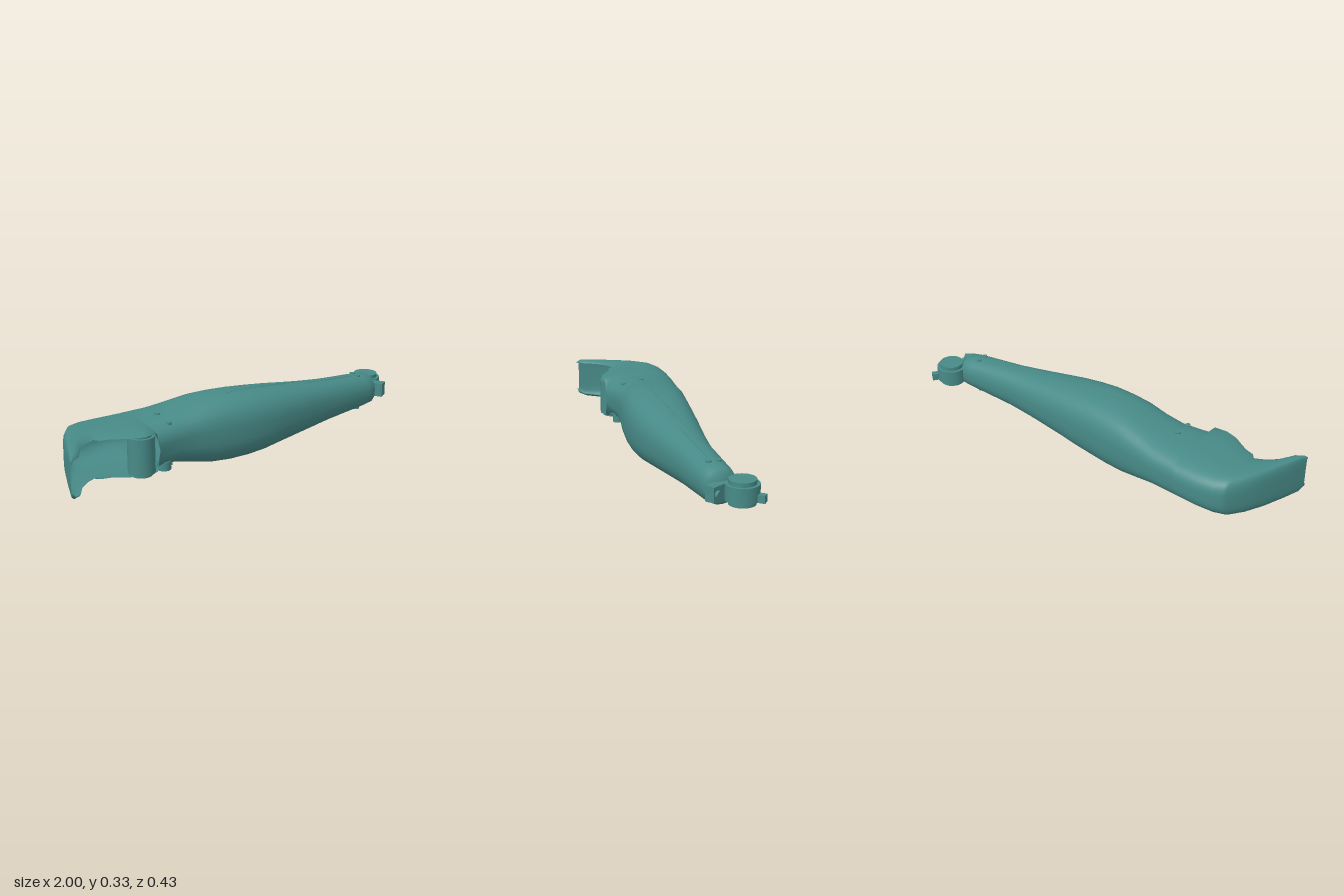
import * as THREE from 'three';
import { mergeVertices } from 'three/addons/utils/BufferGeometryUtils.js';

// Cross-sections along x: [x, back z, front z, bottom y, top y]
const SECTIONS = [
  [-1, 0.2, 0.212, 0.095, 0.255],
  [-0.985, 0.16, 0.208, 0.073, 0.268],
  [-0.95, 0.075, 0.19, 0.065, 0.271],
  [-0.9, -0.035, 0.12, 0.062, 0.273],
  [-0.85, -0.125, 0.08, 0.06, 0.275],
  [-0.8, -0.19, 0.06, 0.06, 0.275],
  [-0.785, -0.2, 0.085, 0.06, 0.275],
  [-0.74, -0.215, 0.1, 0.06, 0.276],
  [-0.66, -0.22, 0.155, 0.06, 0.277],
  [-0.6, -0.216, 0.175, 0.06, 0.278],
  [-0.54, -0.21, 0.172, 0.06, 0.279],
  [-0.52, -0.207, 0.168, 0.06, 0.28],
  [-0.4, -0.19, 0.155, 0.055, 0.285],
  [-0.3, -0.173, 0.165, 0.032, 0.302],
  [-0.2, -0.156, 0.185, 0.01, 0.322],
  [-0.1, -0.138, 0.2, 0.003, 0.328],
  [0, -0.12, 0.21, 0.005, 0.327],
  [0.1, -0.104, 0.21, 0.012, 0.32],
  [0.2, -0.087, 0.202, 0.025, 0.31],
  [0.4, -0.052, 0.175, 0.045, 0.285],
  [0.55, -0.03, 0.152, 0.058, 0.27],
  [0.8, -0.024, 0.14, 0.08, 0.25],
  [0.85, -0.018, 0.13, 0.085, 0.243],
  [0.872, 0.005, 0.105, 0.1, 0.225],
  [0.874, 0.054, 0.056, 0.163, 0.165],
];
const power = (v, n) => Math.sign(v) * Math.abs(v) ** (2 / n);
const roundness = (x) => THREE.MathUtils.clamp(2.6 - x * 0.6, 2.2, 3.2);

// Closed rounded sections on the forearm, front-open ones on the elbow cuff
function shellGeometry() {
  const around = 56, points = [], index = [];
  SECTIONS.forEach(([x, z0, z1, y0, y1], i) => {
    const sweep = x < -0.53 ? 0.72 * Math.PI : Math.PI;
    const n = roundness(x), mid = (z0 + z1) / 2;
    const frontReach = (z1 - mid) / power(-Math.cos(sweep), n);
    for (let j = 0; j <= around; j++) {
      const a = (j / around * 2 - 1) * sweep;
      const c = power(-Math.cos(a), n);
      points.push(x, (y0 + y1) / 2 + (y1 - y0) / 2 * power(Math.sin(a), n),
        mid + c * (c > 0 ? frontReach : mid - z0));
      if (i < SECTIONS.length - 1 && j < around) {
        const p = i * (around + 1) + j, q = p + around + 1;
        index.push(p, p + 1, q, p + 1, q + 1, q);
      }
    }
  });
  let g = new THREE.BufferGeometry();
  g.setAttribute('position', new THREE.Float32BufferAttribute(points, 3));
  g.setIndex(index);
  g = mergeVertices(g, 1e-5);
  g.computeVertexNormals();
  return g;
}

// Height of the forearm surface; side is 1 for the top, -1 for the bottom
function surfaceY(x, z, side) {
  const i = Math.max(1, SECTIONS.findIndex((s) => s[0] >= x));
  const a = SECTIONS[i - 1], b = SECTIONS[i], t = (x - a[0]) / (b[0] - a[0]);
  const [, z0, z1, y0, y1] = a.map((v, k) => v + (b[k] - v) * t);
  const n = roundness(x), u = Math.abs((2 * z - z0 - z1) / (z1 - z0));
  return (y0 + y1) / 2 + side * (y1 - y0) / 2 * (1 - Math.min(u, 1) ** n) ** (1 / n);
}

export function createModel() {
  const model = new THREE.Group();
  const teal = new THREE.MeshStandardMaterial({ color: 0x478a87, side: THREE.DoubleSide });
  teal.name = 'teal';

  const add = (name, geometry, x, y, z, turn = 0) => {
    const mesh = new THREE.Mesh(geometry, teal);
    mesh.name = name;
    mesh.position.set(x, y, z);
    mesh.rotation.y = turn;
    model.add(mesh);
    return mesh;
  };
  const post = (name, r, y0, y1, x, z) =>
    add(name, new THREE.CylinderGeometry(r, r, y1 - y0, 40), x, (y0 + y1) / 2, z);

  add('forearmShell', shellGeometry(), 0, 0, 0);

  // Screw heads on both faces
  for (const side of [1, -1]) {
    for (const [x, z] of [[-0.43, 0.01], [-0.43, 0.105], [0.77, 0.037], [0.77, 0.08]]) {
      const y = surfaceY(x, z, side);
      post('screw', 0.013, y - 0.008, y + 0.006, x, z);
    }
  }

  // Slim ridges running down the forearm
  for (const side of [1, -1]) {
    for (const [x0, x1, z0, z1] of [[0.08, 0.74, 0.06, 0.037], [-0.08, 0.3, 0.065, 0.065], [0.4, 0.74, 0.08, 0.072]]) {
      const path = [];
      for (let i = 0; i <= 8; i++) {
        const x = x0 + (x1 - x0) * i / 8, z = z0 + (z1 - z0) * i / 8;
        path.push(new THREE.Vector3(x, surfaceY(x, z, side) - side * 0.001, z));
      }
      add('ridge', new THREE.TubeGeometry(new THREE.CatmullRomCurve3(path), 24, 0.003, 6), 0, 0, 0);
    }
  }

  // Elbow hinge in the cuff mouth
  post('elbowHub', 0.063, 0.075, 0.25, -0.592, 0.12);
  post('elbowHubCap', 0.05, 0.062, 0.26, -0.592, 0.12);
  post('elbowPin', 0.032, 0.058, 0.1, -0.47, 0.12);

  // Wrist hinge
  post('wristHub', 0.075, 0.125, 0.197, 0.917, -0.015);
  post('wristHubCap', 0.06, 0.106, 0.216, 0.917, -0.015);
  add('wristNeck', new THREE.BoxGeometry(0.1, 0.07, 0.085), 0.865, 0.161, 0.03, 0.5);
  add('wristClamp', new THREE.BoxGeometry(0.05, 0.07, 0.07), 0.896, 0.161, 0.098, 0.5);
  const bolt = add('clampBolt', new THREE.CylinderGeometry(0.018, 0.018, 0.07, 20), 0.905, 0.161, 0.108, 0.5);
  bolt.rotation.z = Math.PI / 2;
  add('wristLug', new THREE.BoxGeometry(0.05, 0.035, 0.03), 0.973, 0.143, -0.072, 0.85);

  return model;
}
